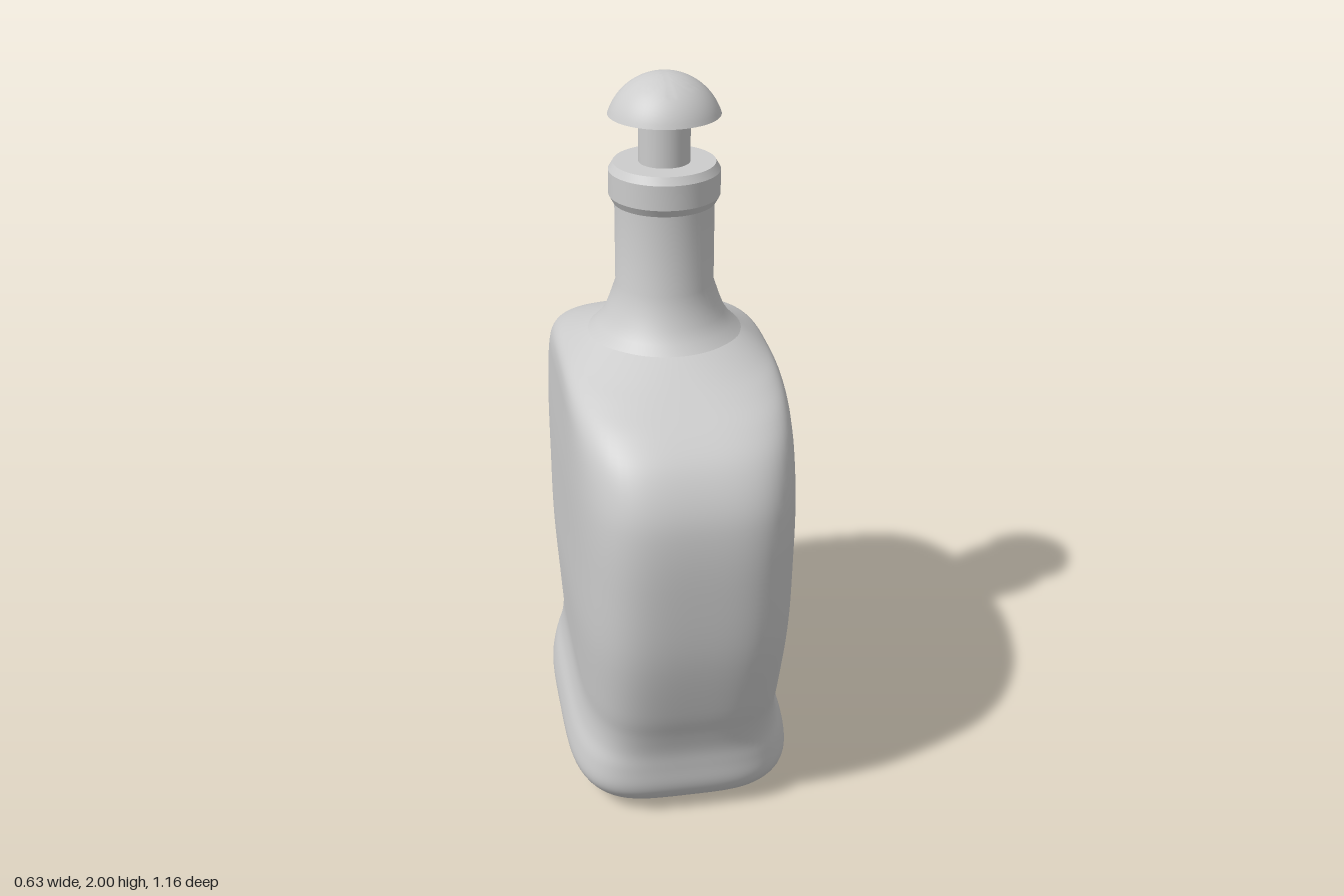
import * as THREE from 'three';
import { toCreasedNormals } from 'three/addons/utils/BufferGeometryUtils.js';

const grey = new THREE.MeshStandardMaterial({ color: 0xcccccc });
grey.name = 'plain grey';

// Body sections: [height, half width x, half depth z, squareness]
const SECTIONS = [
  [0, 0.23, 0.34, 4], [0.03, 0.275, 0.39, 4], [0.07, 0.305, 0.425, 4],
  [0.11, 0.316, 0.44, 4], [0.17, 0.306, 0.444, 4], [0.23, 0.285, 0.45, 4],
  [0.3, 0.275, 0.47, 4], [0.4, 0.28, 0.505, 4], [0.6, 0.292, 0.554, 4],
  [0.8, 0.294, 0.574, 4], [0.95, 0.295, 0.576, 4], [1.05, 0.294, 0.558, 4],
  [1.14, 0.292, 0.508, 4], [1.2, 0.29, 0.438, 3.7], [1.24, 0.281, 0.358, 3.1],
  [1.27, 0.253, 0.292, 2.5], [1.31, 0.2, 0.205, 2],
];

// Point on a rounded-rectangle section
function ringPoint(a, b, n, angle) {
  const c = Math.cos(angle), s = Math.sin(angle);
  const r = (Math.abs(c) ** n + Math.abs(s) ** n) ** (-1 / n);
  return [a * r * c, b * r * s];
}

// Smooth loft through the sections, plus a flat bottom with a hard edge
function bodyGeometry(around = 112, steps = 80) {
  const curves = [1, 2, 3].map(
    (k) => new THREE.SplineCurve(SECTIONS.map((s) => new THREE.Vector2(s[k], s[0]))));
  const positions = [], index = [];
  const addRing = (t) => {
    const [a, b, n] = curves.map((c) => c.getPoint(t).x);
    const y = curves[0].getPoint(t).y;
    for (let i = 0; i < around; i++) {
      const [x, z] = ringPoint(a, b, n, (i / around) * Math.PI * 2);
      positions.push(x, y, z);
    }
  };
  for (let j = 0; j <= steps; j++) addRing(j / steps);
  for (let j = 0; j < steps; j++) {
    for (let i = 0; i < around; i++) {
      const p = j * around + i, q = j * around + ((i + 1) % around);
      index.push(p, p + around, q, q, p + around, q + around);
    }
  }
  const base = positions.length / 3;
  addRing(0);
  positions.push(0, 0, 0);
  for (let i = 0; i < around; i++) index.push(base + around, base + i, base + ((i + 1) % around));
  const geometry = new THREE.BufferGeometry();
  geometry.setAttribute('position', new THREE.Float32BufferAttribute(positions, 3));
  geometry.setIndex(index);
  geometry.computeVertexNormals();
  return geometry;
}

// Turned part from [radius, height] points, bottom to top
function turned(points) {
  const profile = points.map(([r, y]) => new THREE.Vector2(r, y));
  return toCreasedNormals(new THREE.LatheGeometry(profile, 64), 0.5);
}

export function createModel() {
  const group = new THREE.Group();
  group.name = 'pumpBottle';
  const add = (name, geometry) => {
    const mesh = new THREE.Mesh(geometry, grey);
    mesh.name = name;
    group.add(mesh);
  };

  add('body', bodyGeometry());
  add('neck', turned([
    [0.205, 1.308], [0.18, 1.332], [0.16, 1.362], [0.147, 1.395], [0.13, 1.445], [0.13, 1.69],
  ]));
  add('collar', turned([
    [0, 1.665], [0.134, 1.665], [0.145, 1.685], [0.145, 1.75], [0.133, 1.77], [0, 1.77],
  ]));
  add('pumpStem', new THREE.CylinderGeometry(0.067, 0.067, 0.14, 48).translate(0, 1.835, 0));

  // Domed push button with a flat underside
  const dome = [[0, 1.895]];
  const radius = 0.1526, rim = Math.asin(0.145 / radius);
  for (let i = 0; i <= 16; i++) {
    const t = rim * (1 - i / 16);
    dome.push([radius * Math.sin(t), 2 - radius + radius * Math.cos(t)]);
  }
  add('pumpButton', turned(dome));
  return group;
}
